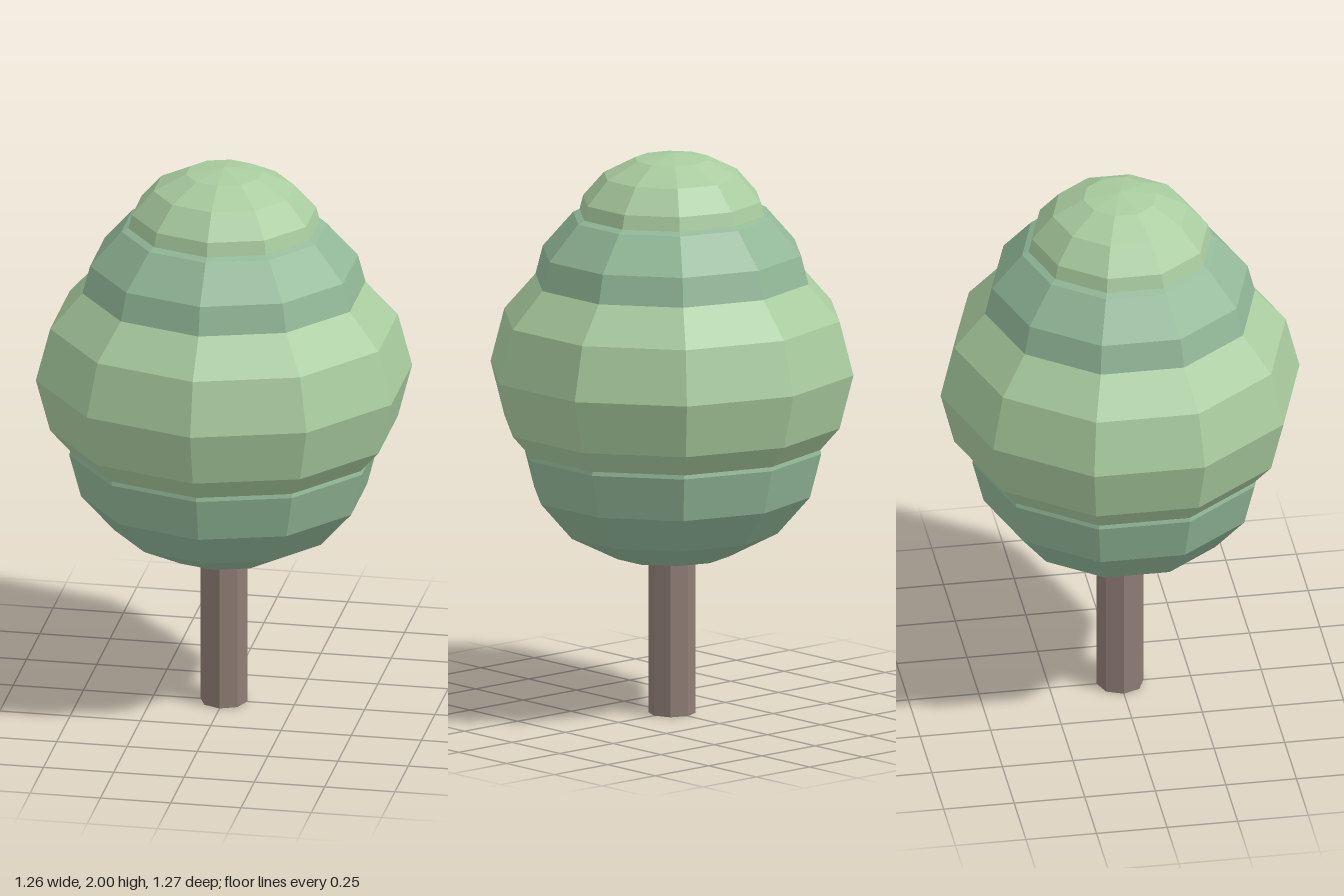
import * as THREE from 'three';

const SIDES = 10;
const RINGS = 8;

export function createModel() {
  const tree = new THREE.Group();
  tree.name = 'tree';

  const flat = (color) => new THREE.MeshStandardMaterial({ color, flatShading: true });
  const bark = flat(0x8f7d75);
  const lightLeaf = flat(0xa9cc9f);
  const blueLeaf = flat(0x92b898);

  // Trunk: octagonal post running up into the foliage
  const trunk = new THREE.Mesh(new THREE.CylinderGeometry(0.083, 0.083, 0.75, 8), bark);
  trunk.name = 'trunk';
  trunk.position.y = 0.375;
  tree.add(trunk);

  // Foliage: overlapping squashed spheres with a corner facing front and back
  const ball = new THREE.SphereGeometry(1, SIDES, RINGS);
  ball.rotateY(Math.PI / 2);
  ball.scale(1 / Math.cos(Math.PI / SIDES), 0.79, 1.006); // unit half-width in x

  const layers = [
    ['lowerFoliage', 0.52, 0.945, blueLeaf],
    ['mainFoliage', 0.632, 1.23, lightLeaf],
    ['upperFoliage', 0.487, 1.503, blueLeaf],
    ['topFoliage', 0.335, 1.735, lightLeaf],
  ];
  for (const [name, halfWidth, y, material] of layers) {
    const layer = new THREE.Mesh(ball, material);
    layer.name = name;
    layer.scale.setScalar(halfWidth);
    layer.position.y = y;
    tree.add(layer);
  }

  return tree;
}
